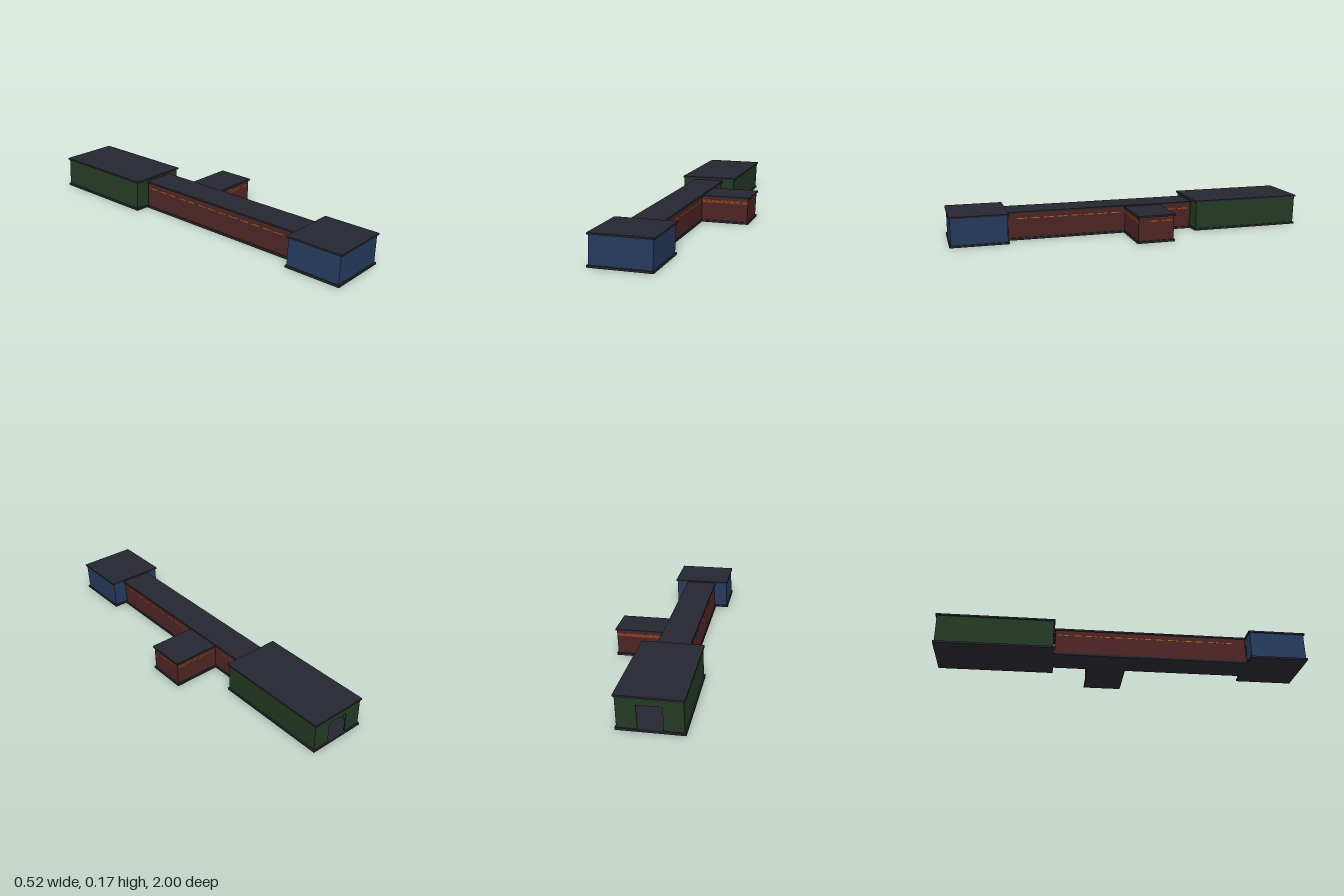
import * as THREE from 'three';

const mat = (name, color) => {
  const m = new THREE.MeshStandardMaterial({ color });
  m.name = name;
  return m;
};

const LEAN = 0.05; // sideways lean of the whole structure per unit of height
const T = 0.006; // wall thickness
const FLOOR = 0.012;
const AXIS = -0.099; // centre line of the main rooms

export function createModel() {
  const model = new THREE.Group();
  model.name = 'stationModule';
  const dark = mat('charcoal', 0x262630);
  const blue = mat('navy', 0x253a5c);
  const green = mat('forestGreen', 0x233923);
  const red = mat('maroon', 0x4d2424);
  const orange = mat('orange', 0xb85c20);

  // Box given by its limits, leaned with height; slant skews it further in its own plane
  function box(parent, name, material, [x0, x1], [y0, y1], [z0, z1], slant = 0) {
    const g = new THREE.BoxGeometry(x1 - x0, y1 - y0, z1 - z0);
    const p = g.attributes.position;
    for (let i = 0; i < p.count; i++) p.setX(i, p.getX(i) + slant * p.getY(i));
    g.translate((x0 + x1) / 2, (y0 + y1) / 2, (z0 + z1) / 2);
    for (let i = 0; i < p.count; i++) p.setX(i, p.getX(i) + LEAN * p.getY(i));
    g.computeVertexNormals();
    const mesh = new THREE.Mesh(g, material);
    mesh.name = name;
    parent.add(mesh);
  }

  const group = (name) => {
    const g = new THREE.Group();
    g.name = name;
    model.add(g);
    return g;
  };

  // Wall across the building, optionally with a central doorway
  function crossWall(parent, name, material, [x0, x1], top, z, door) {
    const zs = [z, z + T];
    if (!door) return box(parent, name, material, [x0, x1], [FLOOR, top], zs);
    const c = (x0 + x1) / 2, w = 0.06, h = 0.13;
    box(parent, name + 'Right', material, [x0, c - w], [FLOOR, top], zs);
    box(parent, name + 'Left', material, [c + w, x1], [FLOOR, top], zs);
    box(parent, name + 'Lintel', material, [c - w, c + w], [h, top], zs);
  }

  // End room: floor, roof, side walls and two cross walls
  function room(name, material, top, roofTop, [z0, z1], backDoor, frontDoor) {
    const g = group(name);
    const slabX = [AXIS - 0.164, AXIS + 0.164];
    const wallX = [AXIS - 0.157, AXIS + 0.157];
    const w0 = z0 + 0.007, w1 = z1 - 0.007;
    box(g, 'floor', dark, slabX, [0.001, FLOOR], [z0, z1]);
    box(g, 'roof', dark, slabX, [top, roofTop], [z0, z1]);
    box(g, 'rightWall', material, [wallX[0], wallX[0] + T], [FLOOR, top], [w0, w1]);
    box(g, 'leftWall', material, [wallX[1] - T, wallX[1]], [FLOOR, top], [w0, w1]);
    const inner = [wallX[0] + T, wallX[1] - T];
    crossWall(g, 'backWall', material, inner, top, w0, backDoor);
    crossWall(g, 'frontWall', material, inner, top, w1 - T, frontDoor);
    return g;
  }

  room('frontRoom', blue, 0.158, 0.167, [0.685, 1], true, false);
  const hall = room('rearHall', green, 0.166, 0.175, [-1, -0.37], true, true);
  box(hall, 'cabinet', blue, [-0.248, -0.222], [FLOOR, 0.08], [-0.93, -0.84]);

  // Corridor joining the two end rooms
  const corridor = group('corridor');
  const cz = [-0.37, 0.685], cx = [AXIS - 0.082, AXIS + 0.082];
  const sz = [-0.175, 0.024]; // side room extent along z
  const cy = [FLOOR, 0.15];
  box(corridor, 'floor', dark, [AXIS - 0.088, AXIS + 0.088], [0, FLOOR], cz);
  box(corridor, 'roof', dark, [AXIS - 0.088, AXIS + 0.088], [0.15, 0.159], cz);
  box(corridor, 'rightWall', red, [cx[0], cx[0] + T], cy, [cz[0] + 0.004, cz[1] - 0.004]);
  box(corridor, 'leftWallRear', red, [cx[1] - T, cx[1]], cy, [cz[0] + 0.004, sz[0] + 0.04]);
  box(corridor, 'leftWallFront', red, [cx[1] - T, cx[1]], cy, [sz[1] - 0.04, cz[1] - 0.004]);
  box(corridor, 'doorLintel', red, [cx[1] - T, cx[1]], [0.13, 0.15], [sz[0] + 0.04, sz[1] - 0.04]);

  // Side room opening off the corridor
  const side = group('sideRoom');
  const sx = [cx[1], 0.247], sy = [FLOOR, 0.143];
  box(side, 'floor', dark, [AXIS + 0.088, 0.254], [0, FLOOR], [sz[0] - 0.007, sz[1] + 0.006]);
  box(side, 'roof', dark, [AXIS + 0.088, 0.254], [0.143, 0.152], [sz[0] - 0.007, sz[1] + 0.006]);
  box(side, 'outerWall', red, [sx[1] - T, sx[1]], sy, sz);
  box(side, 'frontWall', red, [sx[0], sx[1] - T], sy, [sz[1] - T, sz[1]]);
  box(side, 'backWall', red, [sx[0], sx[1] - T], sy, [sz[0], sz[0] + T]);

  // Hatched warning band on the front and back of the side room
  const e = 0.001;
  for (let x = sx[0] + 0.007; x < sx[1] - 0.009; x += 0.0085) {
    for (const z of [sz[0] - e, sz[1]])
      box(side, 'hatchMark', orange, [x, x + 0.0042], [0.112, 0.128], [z, z + e], -0.55);
  }

  // Thin dashed line along the long walls
  function dashes(parent, x, from, to) {
    for (let z = from; z < to - 0.04; z += 0.075)
      box(parent, 'dash', orange, [x, x + e], [0.118, 0.123], [z, Math.min(z + 0.055, to)]);
  }
  dashes(corridor, cx[0] - e, -0.35, 0.66);
  dashes(corridor, cx[1], -0.35, sz[0] - 0.01);
  dashes(corridor, cx[1], sz[1] + 0.03, 0.66);
  dashes(side, sx[1], sz[0] + 0.01, sz[1] - 0.01);

  return model;
}
